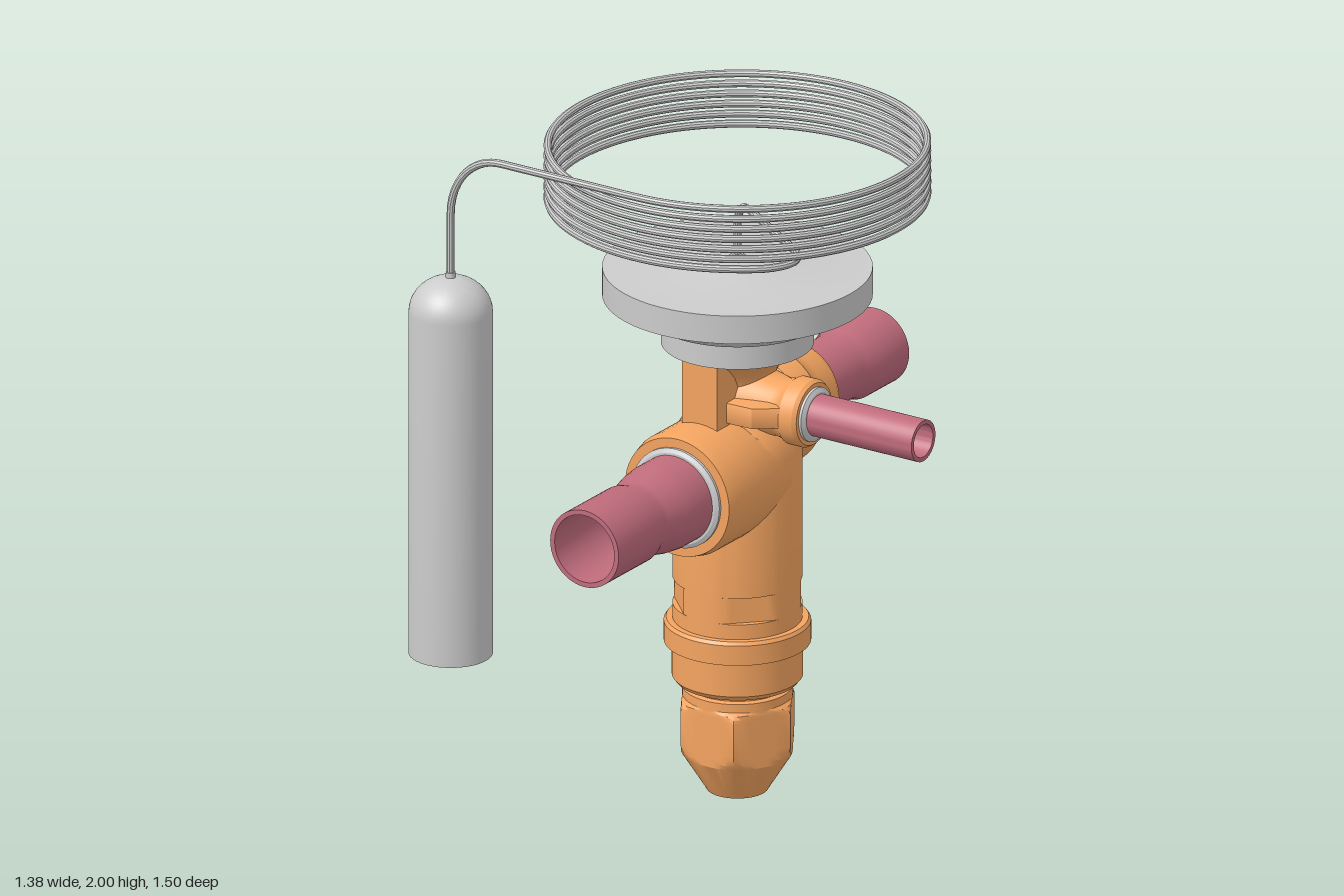
import * as THREE from 'three';
import { toCreasedNormals } from 'three/addons/utils/BufferGeometryUtils.js';

const material = (color) => new THREE.MeshStandardMaterial({ color, side: THREE.DoubleSide });
const AX = 0.05, AZ = -0.035; // main valve axis

export function createModel() {
  const model = new THREE.Group();
  const steel = material(0xcccccc), brass = material(0xf4a460), copper = material(0xc06c7c);

  const add = (name, geometry, mat, parent = model) => {
    const mesh = new THREE.Mesh(toCreasedNormals(geometry, 0.5), mat);
    mesh.name = name;
    parent.add(mesh);
    return mesh;
  };
  const lathe = (points, segments = 48) =>
    new THREE.LatheGeometry(points.map(([r, y]) => new THREE.Vector2(r, y)), segments);

  // Cut n flat faces into a turned part between two heights
  const cutFlats = (geometry, n, apothem, phase, y0, y1) => {
    const p = geometry.attributes.position, step = (2 * Math.PI) / n;
    for (let i = 0; i < p.count; i++) {
      const x = p.getX(i), y = p.getY(i), z = p.getZ(i);
      if (y < y0 || y > y1) continue;
      const r = Math.hypot(x, z), a = Math.atan2(z, x) - phase;
      const limit = apothem / Math.cos(a - Math.round(a / step) * step);
      if (r > limit) p.setXYZ(i, (x * limit) / r, y, (z * limit) / r);
    }
    return geometry;
  };

  // Everything on the valve axis
  const valve = new THREE.Group();
  valve.name = 'valve';
  valve.position.set(AX, 0, AZ);
  model.add(valve);

  // Body with bottom collar, four spanner flats and a waisted neck
  const body = lathe([
    [0, 0.27], [0.157, 0.27], [0.157, 0.315], [0.145, 0.32], [0.145, 0.335], [0.175, 0.335],
    [0.187, 0.35], [0.187, 0.455], [0.21, 0.455], [0.21, 0.515], [0.203, 0.525], [0.185, 0.525],
    [0.185, 0.57], [0.185, 0.571], [0.185, 0.649], [0.185, 0.65], [0.185, 1.05], [0.175, 1.1],
    [0.15, 1.14], [0.115, 1.18], [0.1, 1.22], [0.103, 1.26], [0.12, 1.3], [0.15, 1.335],
    [0.195, 1.365], [0, 1.365],
  ], 64);
  add('valveBody', cutFlats(body, 4, 0.17, Math.PI / 4, 0.5705, 0.6495), brass, valve);

  // Upright rib through the neck, front to back
  const rib = add('neckRib', new THREE.BoxGeometry(0.12, 0.3, 0.39), brass, valve);
  rib.position.y = 1.215;

  // Hexagonal flare nut with a tapered end
  const nut = lathe([
    [0, 0], [0.088, 0], [0.095, 0.012], [0.16, 0.115], [0.169, 0.13], [0.176, 0.145],
    [0.182, 0.16], [0.182, 0.26], [0.176, 0.272], [0.168, 0.282], [0.156, 0.29], [0, 0.29],
  ]);
  add('flareNut', cutFlats(nut, 6, 0.157, Math.PI / 6, 0, 0.3), brass, valve);

  // Diaphragm head with its lower shoulder and shallow cone top
  add('diaphragmHead', lathe([
    [0, 1.365], [0.218, 1.365], [0.218, 1.435], [0.225, 1.442], [0.255, 1.448], [0.28, 1.465],
    [0.295, 1.49], [0.32, 1.505], [0.325, 1.51], [0.385, 1.51], [0.385, 1.595], [0.21, 1.597],
    [0.1, 1.615], [0.025, 1.625], [0.018, 1.635], [0, 1.635],
  ], 64), steel, valve);

  // A port is a boss, a solder ring and an open tube, turned along local y
  const makePort = (name, y, rotation, boss, ring, tube, wall, floor) => {
    const port = new THREE.Group();
    port.name = name;
    port.position.y = y;
    port.rotation.set(...rotation);
    valve.add(port);
    const end = boss.at(-1)[1], [tipR, tipY] = tube.at(-1);
    add(name + 'Boss', lathe([...boss, [0, end]]), brass, port);
    add(name + 'Ring', lathe([[0, end - 0.01], [ring, end - 0.01], [ring, end + 0.008], [ring - 0.012, end + 0.015], [0, end + 0.015]]), steel, port);
    const inner = tube.filter((p) => p[1] > floor).reverse().map(([r, h]) => [r - wall, h]);
    const floorR = inner.at(-1)[0];
    add(name + 'Tube', lathe([...tube, [tipR - wall, tipY], ...inner.slice(1), [floorR, floor], [0, floor]]), copper, port);
  };

  makePort('frontPort', 0.99, [Math.PI / 2, 0, 0],
    [[0, -0.12], [0.1, -0.1], [0.16, -0.05], [0.187, 0], [0.187, 0.275], [0.178, 0.31]], 0.15,
    [[0.131, 0.29], [0.131, 0.4], [0.125, 0.45], [0.111, 0.51], [0.109, 0.53], [0.117, 0.56], [0.117, 0.785]],
    0.015, 0.5);
  makePort('backPort', 1.117, [-Math.PI / 2, 0, 0],
    [[0, 0], [0.165, 0.1], [0.178, 0.17], [0.16, 0.2], [0.15, 0.235], [0.152, 0.29], [0.142, 0.31]], 0.122,
    [[0.1, 0.29], [0.1, 0.5], [0.103, 0.525], [0.114, 0.56], [0.114, 0.71]],
    0.014, 0.48);
  makePort('sidePort', 1.2, [0, 0, -Math.PI / 2],
    [[0, 0], [0.11, 0.06], [0.095, 0.11], [0.085, 0.16], [0.09, 0.19], [0.1, 0.205], [0.1, 0.25], [0.092, 0.262]], 0.08,
    [[0.062, 0.25], [0.062, 0.635]],
    0.013, 0.4);

  // Horizontal web carrying the side port
  const web = new THREE.Shape();
  web.moveTo(0, -0.14);
  web.lineTo(0.14, -0.135);
  web.lineTo(0.21, -0.085);
  web.lineTo(0.21, 0.085);
  web.lineTo(0.14, 0.135);
  web.lineTo(0, 0.14);
  const webMesh = add('sidePortWeb', new THREE.ExtrudeGeometry(web, {
    depth: 0.05, bevelSize: 0.008, bevelThickness: 0.008, bevelSegments: 2,
  }), brass, valve);
  webMesh.rotation.x = Math.PI / 2;
  webMesh.position.y = 1.23;

  // Sensing bulb: rounded top, small ferrule
  const BX = -0.57, BZ = 0.505;
  const dome = Array.from({ length: 11 }, (_, i) => {
    const a = (i / 10) * (Math.PI / 2 - 0.12);
    return [0.12 * Math.cos(a), 1.5 + 0.105 * Math.sin(a)];
  });
  const bulb = add('sensingBulb', lathe([[0, 0.455], [0.12, 0.455], ...dome, [0.014, 1.62], [0, 1.62]]), steel);
  bulb.position.set(BX, 0, BZ);

  // Capillary: out of the head, round the coil, then across and down to the bulb
  const pts = [];
  const point = (x, y, z) => pts.push(new THREE.Vector3(x, y, z));
  const DX = 0.83, DZ = 0.557;
  point(AX, 1.61, AZ);
  point(AX, 1.66, AZ);
  for (let i = 0; i <= 6; i++) {
    const a = (i / 6) * (Math.PI / 2), d = 0.08 * (1 - Math.cos(a));
    point(AX + DX * d, 1.72 + 0.08 * Math.sin(a), AZ + DZ * d);
  }
  for (const d of [0.2, 0.32, 0.41]) point(AX + DX * d, 1.8, AZ + DZ * d);
  point(0.435, 1.8, 0.235);
  point(0.452, 1.8, 0.28);
  point(0.44, 1.8, 0.325);
  const R = 0.54, start = 0.84, end = Math.PI / 2 + 12 * Math.PI, steps = 260;
  for (let i = 0; i <= steps; i++) {
    const t = i / steps, a = start + (end - start) * t;
    point(AX + R * Math.cos(a), 1.8 + 0.188 * t, AZ + R * Math.sin(a));
  }
  point(-0.1, 1.988, BZ);
  point(-0.25, 1.988, BZ);
  point(-0.36, 1.988, BZ);
  for (let i = 0; i <= 8; i++) {
    const a = (i / 8) * (Math.PI / 2);
    point(-0.4 - 0.17 * Math.sin(a), 1.798 + 0.19 * Math.cos(a), BZ);
  }
  point(BX, 1.7, BZ);
  point(BX, 1.6, BZ);
  const path = new THREE.CatmullRomCurve3(pts);
  path.arcLengthDivisions = 3000;
  add('capillaryCoil', new THREE.TubeGeometry(path, 900, 0.0115, 10), steel).geometry.computeBoundingSphere();

  return model;
}
